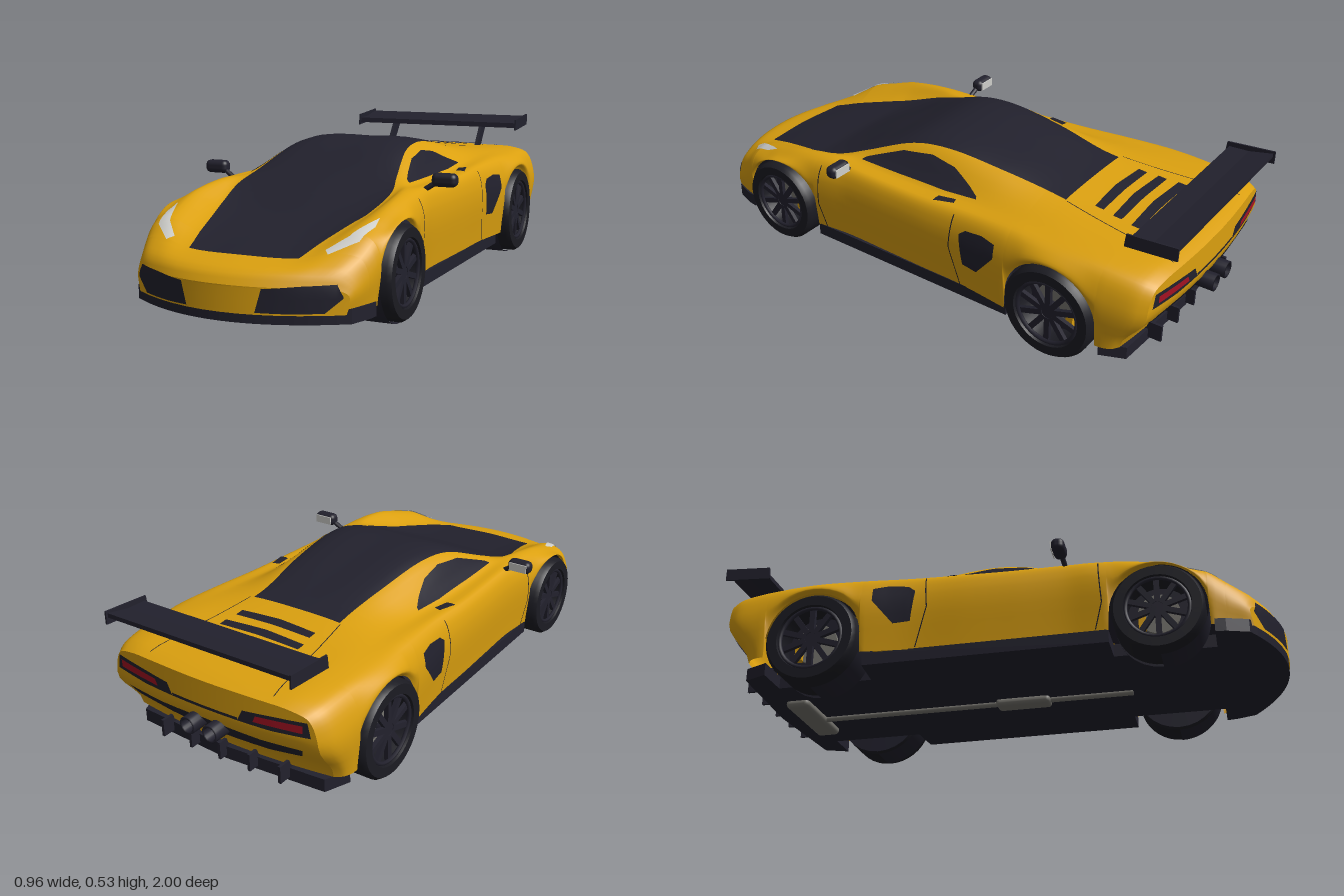
import * as THREE from 'three';
import { toCreasedNormals } from 'three/addons/utils/BufferGeometryUtils.js';
import { RoundedBoxGeometry } from 'three/addons/geometries/RoundedBoxGeometry.js';

const mat = (name, color) => new THREE.MeshStandardMaterial({ name, color, side: THREE.DoubleSide });
const paint = mat('yellowPaint', 0xdba00f);
const black = mat('blackTrim', 0x22212d);
const rubber = mat('tyreRubber', 0x1b1b22);
const grey = mat('greyMetal', 0x77756f);
const glass = mat('lampGlass', 0xcfcfcb);
const red = mat('tailRed', 0xa31222);

// Body stations: z, centre y, black edge x y, crest x y, shoulder x y, widest x y
const frontKeys = [
  [1.0, .168, .15, .167, .25, .165, .325, .162, .365, .14],
  [.98, .2, .17, .2, .265, .198, .34, .19, .374, .15],
  [.94, .216, .178, .216, .28, .22, .353, .212, .383, .16],
  [.87, .229, .19, .231, .295, .25, .37, .238, .395, .18],
  [.75, .258, .215, .263, .325, .3, .385, .28, .41, .22],
  [.6, .288, .25, .3, .345, .345, .395, .328, .42, .25],
  [.53, .305, .268, .316, .347, .362, .392, .342, .418, .26],
  [.38, .372, .288, .365, .335, .38, .38, .364, .407, .3],
  [.28, .415, .265, .402, .322, .378, .375, .37, .4, .3],
  [.1, .487, .226, .47, .317, .378, .38, .37, .405, .3],
];
const rearKeys = [
  [-.05, .5, .21, .486, .317, .38, .385, .372, .41, .3],
  [-.25, .476, .195, .466, .317, .39, .385, .38, .415, .3],
  [-.45, .438, .176, .432, .317, .402, .4, .385, .437, .3],
  [-.62, .416, .19, .412, .33, .403, .41, .385, .446, .345],
  [-.8, .401, .2, .399, .335, .396, .405, .375, .442, .28],
  [-.92, .392, .21, .39, .335, .385, .395, .362, .428, .27],
  [-.965, .378, .21, .377, .32, .37, .378, .35, .405, .27],
];
const keys = [...frontKeys, ...rearKeys];
const arches = [{ z: .59, y: .155, r: .162 }, { z: -.6, y: .166, r: .173 }];
const clamp = THREE.MathUtils.clamp;

// Smooth interpolation between the stations
function station(z) {
  let k = 0;
  while (k < keys.length - 2 && z < keys[k + 1][0]) k++;
  const [p, a, b, q] = [-1, 0, 1, 2].map(d => keys[clamp(k + d, 0, keys.length - 1)]);
  const h = b[0] - a[0], t = (z - a[0]) / h, t2 = t * t, t3 = t2 * t;
  return a.map((v, c) => (2 * t3 - 3 * t2 + 1) * v + (t3 - 2 * t2 + t) * h * (b[c] - p[c]) / (b[0] - p[0])
    + (3 * t2 - 2 * t3) * b[c] + (t3 - t2) * h * (q[c] - a[c]) / (q[0] - a[0]));
}

// Bow the nose in plan and tuck the lower tail forward
function warp(x, y, z) {
  const nose = .9 * clamp((z - .76) / .24, 0, 1);
  const tail = clamp((-.79 - z) / .175, 0, 1);
  return [x, y, z - nose * x * x + tail * (.2 * x * x + .09 * THREE.MathUtils.smoothstep(.27 - y, 0, .16))];
}

// One full cross-section, from the left sill over the roof to the right sill
const SUB = 5, COLS = SUB * 10;
function section(z) {
  const [, yc, xe, ye, xb, yb, xs, ys0, xw, yw] = station(z);
  let low = z > .43 ? .085 : z > -.43 ? .1 : .112;
  for (const a of arches) {
    const d = Math.abs(z - a.z);
    if (d <= a.r + 1e-6) low = a.y + Math.sqrt(Math.max(0, a.r * a.r - d * d));
  }
  const ys = Math.max(ys0, low + .01);
  const half = [[xw - .012, low], [xw, Math.max(yw, low + .3 * (ys - low))], [xs, ys], [xb, yb], [xe, ye]];
  const pts = [...half, [0, yc], ...half.map(([x, y]) => [-x, y]).reverse()];
  const curve = new THREE.CatmullRomCurve3(pts.map(([x, y]) => new THREE.Vector3(x, y, 0)));
  return Array.from({ length: COLS + 1 }, (_, i) => curve.getPoint(i / COLS));
}

function geometryOf(pos, idx) {
  const g = new THREE.BufferGeometry();
  g.setAttribute('position', new THREE.Float32BufferAttribute(pos, 3));
  g.setIndex(idx);
  g.computeVertexNormals();
  return g;
}

// Triangles for a grid of points; swap reverses the facing
function gridIndex(rows, cols, swap, emit) {
  for (let j = 0; j < rows; j++) for (let i = 0; i < cols; i++) {
    const a = j * (cols + 1) + i, b = a + cols + 1;
    emit(swap ? [a, a + 1, b, b, a + 1, b + 1] : [a, b, a + 1, b, b + 1, a + 1], j, i);
  }
}

function bodyShell() {
  const zs = [1, .99, .87, -.5, -.965];
  for (let z = .98; z > -.96; z -= .022) if (arches.every(a => Math.abs(z - a.z) > a.r + .01)) zs.push(z);
  for (const a of arches) {
    zs.push(a.z + a.r + .002, a.z - a.r - .002);
    for (let k = 0; k <= 18; k++) zs.push(a.z + a.r * Math.cos(k * Math.PI / 18));
  }
  zs.sort((a, b) => b - a);
  const pos = [], yellow = [], dark = [];
  zs.forEach(z => section(z).forEach(p => pos.push(...warp(p.x, p.y, z))));
  gridIndex(zs.length - 1, COLS, false, (tri, j, i) => {
    const mid = (zs[j] + zs[j + 1]) / 2;
    const top = i >= SUB * 4 && i < SUB * 6 && mid < .87 && mid > -.5;
    (top ? dark : yellow).push(...tri);
  });
  const g = geometryOf(pos, [...yellow, ...dark]);
  g.addGroup(0, yellow.length, 0);
  g.addGroup(yellow.length, dark.length, 1);
  return g;
}

// Closing face at either end of the shell
function endFace(z) {
  const pos = [], idx = [], n = 12;
  const rows = section(z).slice(0, COLS / 2 + 1);
  rows.forEach(p => { for (let i = 0; i <= n; i++) pos.push(...warp(p.x * (1 - 2 * i / n), p.y, z)); });
  gridIndex(rows.length - 1, n, z > 0, tri => idx.push(...tri));
  return geometryOf(pos, idx);
}

export function createModel() {
  const car = new THREE.Group();
  car.name = 'sportsCar';
  const add = (name, geo, material, x = 0, y = 0, z = 0, parent = car) => {
    const m = new THREE.Mesh(geo, material);
    m.name = name;
    m.position.set(x, y, z);
    parent.add(m);
    return m;
  };
  const box = (w, h, d) => new THREE.BoxGeometry(w, h, d);

  const shell = [
    add('bodyShell', bodyShell(), [paint, black]),
    add('noseFace', endFace(1), paint),
    add('tailFace', endFace(-.965), paint),
  ];

  // Thin panel between two edge lines, laid onto the body along an axis
  const caster = new THREE.Raycaster();
  const views = {
    top: ([x, z], s) => [[x * s, 2, z], [0, -1, 0]],
    side: ([z, y], s) => [[2 * s, y, z], [-s, 0, 0]],
    front: ([x, y], s) => [[x * s, y, 2], [0, 0, -1]],
    back: ([x, y], s) => [[x * s, y, -2], [0, 0, 1]],
  };
  const along = (line, t) => {
    const f = t * (line.length - 1), k = Math.min(Math.floor(f), line.length - 2);
    return line[k].map((v, c) => v + (line[k + 1][c] - v) * (f - k));
  };
  function panel(name, view, material, A, B, sides = [1, -1], off = .004) {
    const n = 12, m = 4;
    for (const s of sides) {
      const pos = [], idx = [];
      let last = [0, .2, 0];
      for (let j = 0; j <= m; j++) for (let i = 0; i <= n; i++) {
        const a = along(A, i / n), b = along(B, i / n);
        const [o, d] = views[view](a.map((v, c) => v + (b[c] - v) * j / m), s);
        caster.set(new THREE.Vector3(...o), new THREE.Vector3(...d));
        const hit = caster.intersectObjects(shell, false)[0];
        if (hit) last = hit.point.addScaledVector(caster.ray.direction, -off).toArray();
        pos.push(...last);
      }
      const flip = (view === 'top' || view === 'front') ? s > 0 : s < 0;
      gridIndex(m, n, flip, tri => idx.push(...tri));
      add(name, geometryOf(pos, idx), material);
    }
  }
  panel('headlight', 'top', glass, [[.362, .65], [.368, .7], [.352, .78], [.28, .845]], [[.362, .65], [.335, .72], [.315, .77], [.262, .825]]);
  panel('frontIntake', 'front', black, [[.115, .092], [.2, .091], [.305, .092], [.352, .135]], [[.135, .163], [.24, .172], [.335, .176], [.352, .14]]);
  panel('sideWindow', 'side', black, [[.275, .385], [.1, .385], [-.1, .387], [-.23, .395]], [[.26, .395], [.12, .448], [0, .464], [-.1, .45], [-.225, .4]]);
  panel('sideIntake', 'side', black, [[-.235, .31], [-.25, .2], [-.31, .195], [-.385, .285]], [[-.235, .315], [-.26, .335], [-.33, .343], [-.385, .335]]);
  panel('shoulderVent', 'top', black, [[.335, -.165], [.36, -.175]], [[.345, -.1], [.378, -.1]]);
  panel('doorFrontSeam', 'side', black, [[.4, .355], [.41, .2], [.385, .105]], [[.396, .355], [.406, .2], [.381, .105]]);
  panel('doorRearSeam', 'side', black, [[-.2, .37], [-.19, .25], [-.23, .105]], [[-.204, .37], [-.194, .25], [-.234, .105]]);
  panel('deckSeam', 'top', black, [[.185, -.51], [.245, -.93]], [[.188, -.51], [.248, -.93]]);
  for (let k = 0; k < 4; k++) {
    const z = -.585 - .072 * k, w = .15 + .009 * k;
    panel('engineLouvre', 'top', black, [[-w, z - .01], [0, z], [w, z - .01]], [[-w, z - .042], [0, z - .038], [w, z - .042]], [1], .006);
  }
  panel('tailLampHousing', 'back', black, [[.13, .285], [.25, .285], [.385, .295]], [[.15, .325], [.25, .335], [.375, .345]]);
  panel('tailLamp', 'back', red, [[.19, .3], [.36, .308]], [[.2, .322], [.362, .334]], [1, -1], .008);
  panel('plateRecess', 'back', black, [[-.13, .285], [.13, .285]], [[-.13, .295], [.13, .295]], [1]);
  panel('rearGrille', 'back', black, [[-.33, .2], [-.2, .172], [0, .165], [.2, .172], [.33, .2]], [[-.35, .24], [-.2, .232], [0, .245], [.2, .232], [.35, .24]], [1]);

  // Floor with wheel cut-outs and front lip
  const edge = [];
  for (let x = 0; x < .38; x += .037) edge.push([x, .996 - .9 * x * x]);
  edge.push([.395, .8], [.4, .765], [.28, .765], [.28, .425], [.398, .425], [.405, -.42], [.28, -.43], [.28, -.775], [.405, -.775], [.37, -.86], [0, -.885]);
  const outline = [...edge, ...edge.slice(1, -1).reverse().map(([x, z]) => [-x, z])];
  const floor = new THREE.ExtrudeGeometry(new THREE.Shape(outline.map(p => new THREE.Vector2(...p))), { depth: .045, bevelEnabled: false });
  add('floor', floor.rotateX(Math.PI / 2), black, 0, .102, 0);
  for (const x of [-.24, -.12, 0, .12, .24]) add('diffuserFin', box(.01, .06, .13), black, x, .1, -.85);

  // Exhaust line, mufflers and tips
  add('exhaustPipe', new THREE.CylinderGeometry(.011, .011, 1.2, 10).rotateX(Math.PI / 2), grey, .03, .052, -.15);
  add('middleMuffler', new RoundedBoxGeometry(.07, .03, .2, 3, .014), grey, .03, .048, .05);
  add('rearMuffler', new RoundedBoxGeometry(.32, .036, .09, 3, .017), grey, 0, .052, -.76);
  for (const x of [-.045, .045]) {
    const tip = new THREE.LatheGeometry([[.022, 0], [.03, 0], [.03, .08], [.022, .08], [.022, 0]].map(p => new THREE.Vector2(...p)), 20);
    add('exhaustTip', tip.rotateX(-Math.PI / 2), black, x, .222, -.918);
  }

  // Wheels, brakes and wheel wells
  const tyreProfile = [[.108, -.07], [.14, -.07], [.153, -.056], [.153, .056], [.143, .07], [.112, .07], [.108, .055], [.108, -.07]];
  const tyreGeo = toCreasedNormals(new THREE.LatheGeometry(tyreProfile.map(p => new THREE.Vector2(...p)), 40).rotateZ(-Math.PI / 2), .7);
  const disc = (r, w) => new THREE.CylinderGeometry(r, r, w, 28).rotateZ(Math.PI / 2);
  arches.forEach((a, i) => {
    const r = i ? .165 : .153, outer = i ? .45 : .435;
    for (const s of [1, -1]) {
      const wheel = new THREE.Group();
      wheel.name = i ? 'rearWheel' : 'frontWheel';
      wheel.position.set(s * (outer - .07 * r / .153), r, a.z);
      wheel.rotation.y = s > 0 ? 0 : Math.PI;
      wheel.scale.setScalar(r / .153);
      car.add(wheel);
      add('tyre', tyreGeo, rubber, 0, 0, 0, wheel);
      add('rimBack', disc(.108, .01), black, -.03, 0, 0, wheel);
      add('brakeDisc', disc(.07, .012), grey, 0, 0, 0, wheel);
      add('caliper', box(.024, .05, .024), paint, .008, -.03, -s * .055, wheel);
      add('hub', disc(.026, .03), black, .04, 0, 0, wheel);
      add('rimRing', new THREE.TorusGeometry(.104, .007, 6, 36).rotateY(Math.PI / 2), black, .058, 0, 0, wheel);
      const spoke = box(.014, .085, .018).translate(0, .062, 0);
      for (let k = 0; k < 10; k++) add('spoke', spoke, black, .05, 0, 0, wheel).rotation.x = k * Math.PI / 5;

      const liner = new THREE.CylinderGeometry(a.r, a.r, .115, 28, 1, true, 0, Math.PI);
      add('wheelArchLiner', liner.rotateZ(Math.PI / 2).rotateX(Math.PI / 2 * upTurn(liner)), black, s * .347, a.y, a.z);
      add('wheelWellWall', disc(a.r - .008, .004), black, s * .284, a.y, a.z);
    }
  });

  // Door mirrors
  for (const s of [1, -1]) {
    add('mirrorHousing', new RoundedBoxGeometry(.088, .046, .045, 4, .018), black, s * .436, .402, .275);
    add('mirrorGlass', box(.068, .03, .004), glass, s * .436, .402, .252);
    const arm = new THREE.LineCurve3(new THREE.Vector3(s * .36, .362, .285), new THREE.Vector3(s * .41, .395, .278));
    add('mirrorArm', new THREE.TubeGeometry(arm, 1, .009, 8), black);
  }

  // Rear wing with struts and end plates
  const prism = (pts, w) => new THREE.ExtrudeGeometry(new THREE.Shape(pts.map(([z, y]) => new THREE.Vector2(-z, y))), { depth: w, bevelEnabled: false })
    .translate(0, 0, -w / 2).rotateY(Math.PI / 2);
  add('wingBlade', prism([[-.825, .475], [-.828, .495], [-.9, .498], [-.985, .515], [-.985, .5], [-.9, .478]], .72), black);
  for (const s of [1, -1]) {
    add('wingEndPlate', prism([[-.815, .465], [-.82, .51], [-.992, .523], [-.992, .478]], .006), black, s * .36);
    add('wingStrut', prism([[-.775, .395], [-.84, .48], [-.9, .482], [-.83, .395]], .012), black, s * .2);
  }
  return car;
}

// Quarter-turn direction that brings a half tube's open side downward
function upTurn(tube) {
  tube.computeBoundingBox();
  return tube.boundingBox.max.z > -tube.boundingBox.min.z ? -1 : 1;
}
